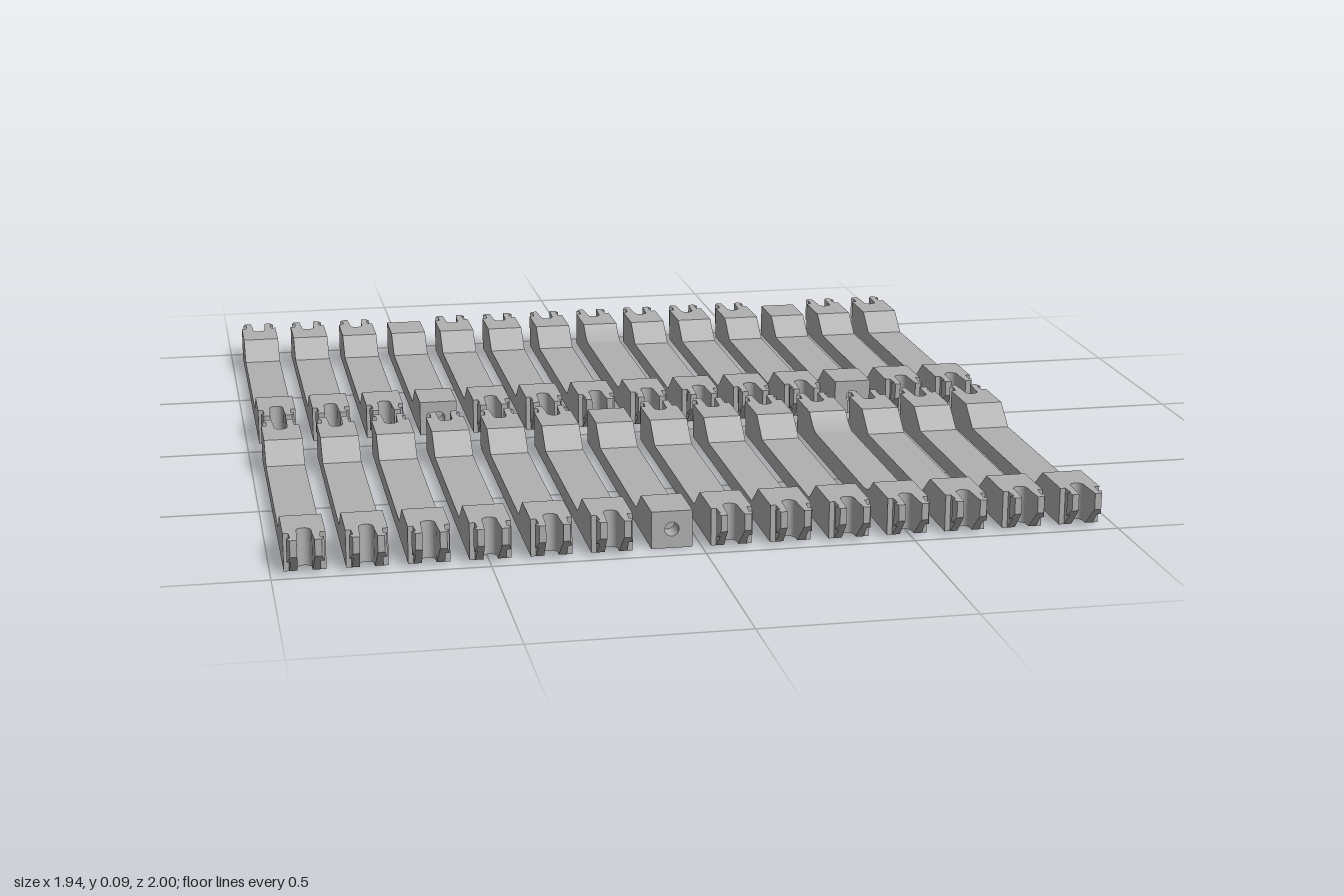
import * as THREE from 'three';

const W = 0.097, HALF = W / 2, TOP = 0.09, END = 0.4375, CUT = 0.385;
const COLUMNS = 14, PITCH = 0.1415, ROW_Z = 0.509;

// Extrudes an outline drawn in x/z upward from y = 0 to TOP
function slab(points, holeOrArc) {
  const shape = points instanceof THREE.Shape ? points : new THREE.Shape(points.map(p => new THREE.Vector2(...p)));
  const g = new THREE.ExtrudeGeometry(shape, { depth: TOP, bevelEnabled: false, curveSegments: 8 });
  g.rotateX(Math.PI / 2);
  g.translate(0, TOP, 0);
  return g;
}

// Recessed track body: side profile extruded across the width
function bodyGeometry(curved) {
  const s = new THREE.Shape();
  s.moveTo(-CUT, 0);
  s.lineTo(CUT, 0);
  s.lineTo(CUT, TOP);
  s.lineTo(0.308, TOP);
  if (curved) {
    s.quadraticCurveTo(0.27, 0.053, 0.235, 0.052);
    s.lineTo(-0.235, 0.052);
    s.quadraticCurveTo(-0.27, 0.053, -0.308, TOP);
  } else {
    s.lineTo(0.245, 0.04);
    s.lineTo(-0.245, 0.04);
    s.lineTo(-0.308, TOP);
  }
  s.lineTo(-CUT, TOP);
  s.closePath();
  const g = new THREE.ExtrudeGeometry(s, { depth: W, bevelEnabled: false, curveSegments: 8 });
  g.translate(0, 0, -HALF);
  g.rotateY(-Math.PI / 2);
  return g;
}

// End block with a rounded slot between the prongs
function slottedEndGeometry() {
  const s = new THREE.Shape();
  s.moveTo(-HALF, CUT);
  s.lineTo(HALF, CUT);
  s.lineTo(HALF, END);
  s.lineTo(0.017, END);
  s.lineTo(0.017, 0.42);
  s.absarc(0, 0.42, 0.017, 0, -Math.PI, true);
  s.lineTo(-0.017, END);
  s.lineTo(-HALF, END);
  s.closePath();
  return slab(s);
}

// Barbed prong whose underside rises toward the tip
function prongGeometry(side) {
  const pts = [[0.017, 0], [0.036, 0], [0.034, 0.034], [0.043, 0.034], [0.036, 0.0525], [0.02, 0.0525]];
  const g = slab(pts.map(([x, z]) => [x * side, z]));
  const p = g.attributes.position;
  for (let i = 0; i < p.count; i++) {
    if (p.getY(i) < 0.01) p.setY(i, p.getZ(i) * 0.95);
  }
  g.computeVertexNormals();
  g.translate(0, 0, END);
  return g;
}

// Plain end block with a round peg hole
function holedEndGeometry() {
  const s = new THREE.Shape();
  s.moveTo(-HALF, 0);
  s.lineTo(HALF, 0);
  s.lineTo(HALF, TOP);
  s.lineTo(-HALF, TOP);
  s.closePath();
  const hole = new THREE.Path();
  hole.absarc(0, 0.046, 0.017, 0, Math.PI * 2, true);
  s.holes.push(hole);
  const g = new THREE.ExtrudeGeometry(s, { depth: END - CUT, bevelEnabled: false, curveSegments: 12 });
  g.translate(0, 0, CUT);
  return g;
}

export function createModel() {
  const model = new THREE.Group();
  model.name = 'trackPieces';
  const grey = new THREE.MeshStandardMaterial({ color: 0xb0b0b0 });
  grey.name = 'light grey';

  const straightBody = bodyGeometry(false);
  const curvedBody = bodyGeometry(true);
  const slottedEnd = slottedEndGeometry();
  const holedEnd = holedEndGeometry();
  const prongs = [prongGeometry(1), prongGeometry(-1)];

  const add = (parent, geometry, name) => {
    const mesh = new THREE.Mesh(geometry, grey);
    mesh.name = name;
    parent.add(mesh);
  };

  // Two rows of pieces; a few have plain ends or a curved deck
  const rows = [
    { z: -ROW_Z - 0.002, plain: [3, 11], curved: [7] },
    { z: ROW_Z, plain: [6], curved: [10] },
  ];
  for (const row of rows) {
    for (let i = 0; i < COLUMNS; i++) {
      const piece = new THREE.Group();
      piece.name = 'trackPiece';
      piece.position.set((i - (COLUMNS - 1) / 2) * PITCH, 0, row.z);
      add(piece, row.curved.includes(i) ? curvedBody : straightBody, 'body');
      for (const turn of [0, Math.PI]) {
        const end = new THREE.Group();
        end.name = 'connector';
        end.rotation.y = turn;
        if (row.plain.includes(i)) {
          add(end, holedEnd, 'holedEnd');
        } else {
          add(end, slottedEnd, 'slottedEnd');
          prongs.forEach(g => add(end, g, 'prong'));
        }
        piece.add(end);
      }
      model.add(piece);
    }
  }
  return model;
}
